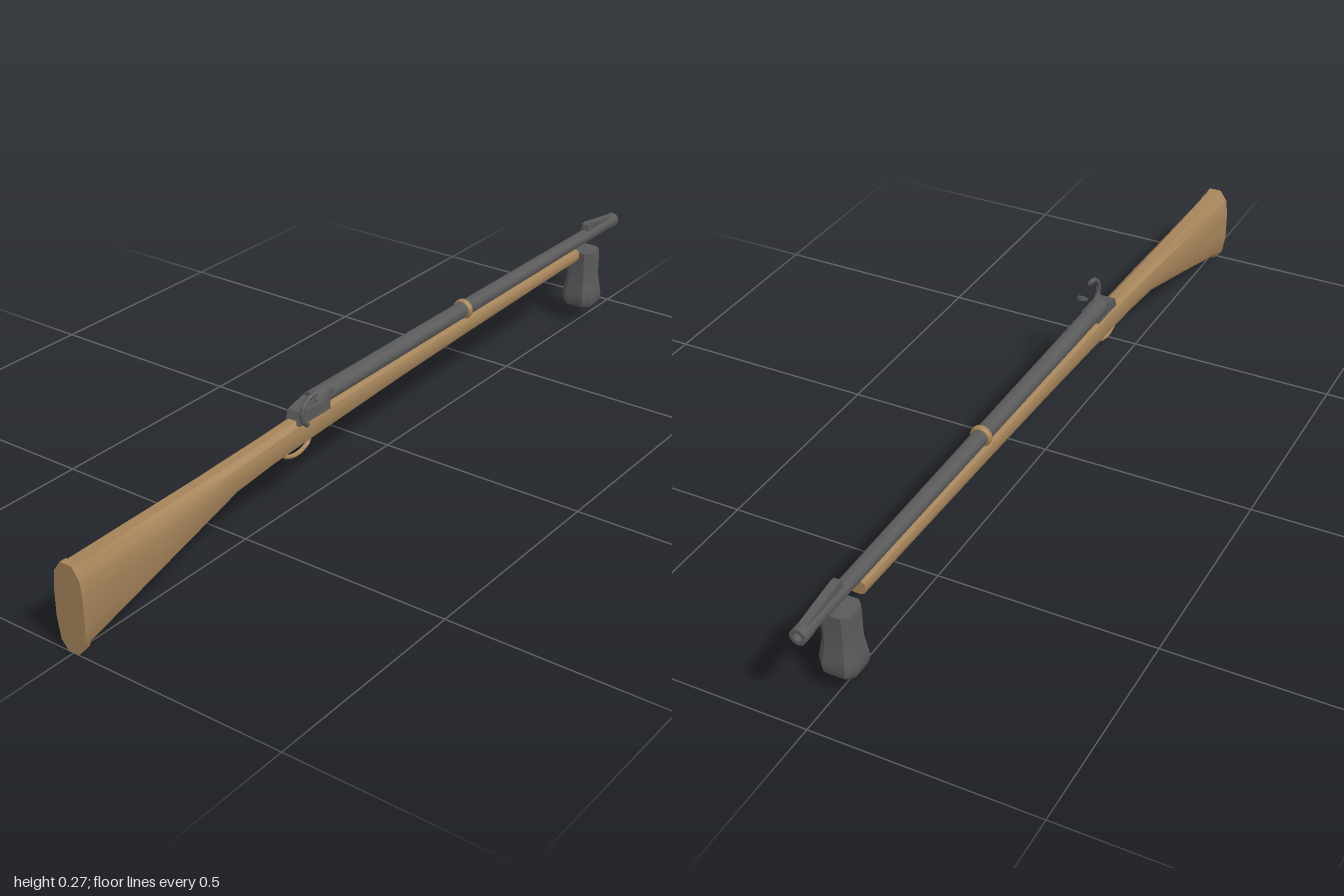
import * as THREE from 'three';
import { toCreasedNormals } from 'three/addons/utils/BufferGeometryUtils.js';

const wood = new THREE.MeshStandardMaterial({ color: 0xa5845a });
const steel = new THREE.MeshStandardMaterial({ color: 0x5a5a5a });

function part(name, geometry, material) {
  const mesh = new THREE.Mesh(geometry, material);
  mesh.name = name;
  return mesh;
}

// Closed skin over rings of equal point count, capped at both ends.
// Rings run counter-clockwise as seen from the end the loft travels towards.
function loft(rings, crease = 0.6) {
  const n = rings[0].length, index = [];
  const last = (rings.length - 1) * n;
  for (let r = 0; r < rings.length - 1; r++) {
    for (let i = 0; i < n; i++) {
      const a = r * n + i, b = r * n + (i + 1) % n;
      index.push(a, b, b + n, a, b + n, a + n);
    }
  }
  for (let i = 1; i < n - 1; i++) {
    index.push(0, i + 1, i, last, last + i, last + i + 1);
  }
  const g = new THREE.BufferGeometry();
  g.setAttribute('position', new THREE.Float32BufferAttribute(rings.flat(2), 3));
  g.setIndex(index);
  return toCreasedNormals(g, crease);
}

// Prism from a (z, y) side profile, centred on the given x
function sidePlate(profile, width, x) {
  const shape = new THREE.Shape(profile.map(([z, y]) => new THREE.Vector2(-z, y)));
  const g = new THREE.ExtrudeGeometry(shape, { depth: width, bevelEnabled: false });
  return g.translate(0, 0, -width / 2).rotateY(Math.PI / 2).translate(x, 0, 0);
}

function tube(points, radius, segments) {
  const curve = new THREE.CatmullRomCurve3(points.map((p) => new THREE.Vector3(...p)));
  const rings = [];
  // Flat-capped tube in the zy plane
  for (let s = 0; s <= segments; s++) {
    const p = curve.getPoint(s / segments), t = curve.getTangent(s / segments);
    const side = new THREE.Vector3(1, 0, 0), up = t.clone().cross(side);
    rings.push(Array.from({ length: 8 }, (_, i) => {
      const a = (i / 8) * Math.PI * 2;
      return p.clone().addScaledVector(side, radius * Math.cos(a))
        .addScaledVector(up, radius * Math.sin(a)).toArray();
    }));
  }
  return loft(rings, 1);
}

export function createModel() {
  const model = new THREE.Group();
  model.name = 'musket';

  // Stock: one faceted oval, swept from muzzle end to butt
  const half = [[0.36, 0], [0.8, 0.1], [1, 0.35], [1, 0.68], [0.88, 0.87], [0.4, 1]];
  const oval = [...half, ...half.map(([x, y]) => [-x, y]).reverse()];
  const stations = [ // z, half width, bottom, top
    [-0.8, 0.02, 0.182, 0.214], [-0.3, 0.022, 0.172, 0.213], [0, 0.023, 0.163, 0.212],
    [0.3, 0.024, 0.15, 0.211], [0.42, 0.024, 0.144, 0.206], [0.54, 0.026, 0.134, 0.202],
    [0.78, 0.031, 0.066, 0.197], [0.98, 0.035, 0.009, 0.193],
    [0.985, 0.037, 0.001, 0.196], [1, 0.037, 0, 0.196],
  ];
  model.add(part('stock', loft(stations.map(([z, w, y0, y1]) =>
    oval.map(([x, y]) => [x * w, y0 + y * (y1 - y0), z]))), wood));

  // Barrel with open bore, slight taper and a muzzle lip
  const profile = [[0, -0.28], [0.021, -0.28], [0.019, 0.3], [0.016, 0.96], [0.018, 0.975],
    [0.018, 1], [0.01, 1], [0.01, 0.9], [0, 0.9]].map((p) => new THREE.Vector2(...p));
  const barrel = new THREE.LatheGeometry(profile, 16);
  barrel.rotateX(-Math.PI / 2).translate(0, 0.229, 0);
  model.add(part('barrel', toCreasedNormals(barrel, 0.6), steel));

  // Band around the barrel
  const band = new THREE.TorusGeometry(0.02, 0.005, 8, 20);
  model.add(part('barrelBand', band.scale(1, 1, 1.7).translate(0, 0.229, -0.3), wood));

  // Wedge front sight
  model.add(part('frontSight', sidePlate(
    [[-0.855, 0.24], [-0.98, 0.24], [-0.98, 0.246], [-0.87, 0.262], [-0.858, 0.26]], 0.018, 0), steel));

  // Breech block and lock plate on the left side
  model.add(part('breech', sidePlate(
    [[0.34, 0.203], [0.24, 0.203], [0.24, 0.235], [0.28, 0.24], [0.33, 0.228]], 0.034, 0), steel));
  model.add(part('lockPlate', sidePlate(
    [[0.345, 0.203], [0.24, 0.203], [0.24, 0.232], [0.325, 0.232]], 0.012, 0.019), steel));

  // Curved hammer and the small striker in front of it
  model.add(part('hammer', tube([[0.034, 0.205, 0.33], [0.034, 0.222, 0.346], [0.035, 0.246, 0.347],
    [0.036, 0.264, 0.33], [0.036, 0.269, 0.303]], 0.006, 16), steel));
  model.add(part('striker', sidePlate(
    [[0.288, 0.238], [0.278, 0.236], [0.248, 0.252], [0.248, 0.262], [0.258, 0.26]], 0.01, 0.036), steel));

  // Trigger guard
  model.add(part('triggerGuard', tube([[0, 0.152, 0.378], [0, 0.136, 0.368], [0, 0.125, 0.342],
    [0, 0.125, 0.312], [0, 0.135, 0.288], [0, 0.155, 0.278]], 0.005, 18), wood));

  // Flared, chamfered grip hanging below the muzzle
  const chamfer = [[1, 0.6], [0.6, 1], [-0.6, 1], [-1, 0.6], [-1, -0.6], [-0.6, -1], [0.6, -1], [1, -0.6]];
  const gripStations = [ // y, half width, half depth
    [0.194, 0.033, 0.033], [0.185, 0.034, 0.033], [0.125, 0.034, 0.033],
    [0.1, 0.038, 0.036], [0.075, 0.042, 0.041], [0.055, 0.04, 0.04], [0.048, 0.037, 0.037],
  ];
  model.add(part('foreGrip', loft(gripStations.map(([y, w, d]) =>
    chamfer.map(([x, z]) => [x * w, y, -0.858 + z * d]))), steel));

  return model;
}
